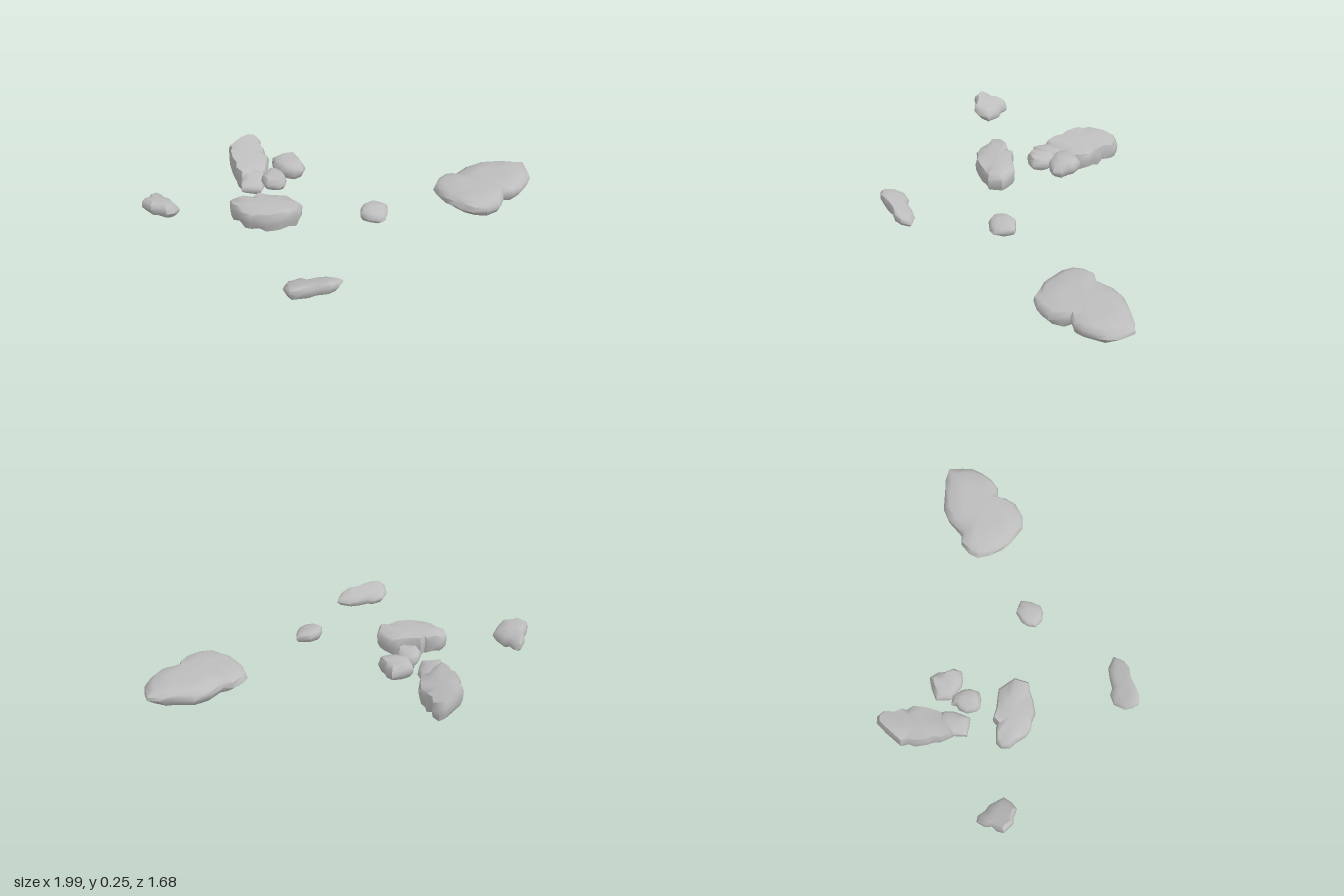
import * as THREE from 'three';
import { toCreasedNormals } from 'three/addons/utils/BufferGeometryUtils.js';

const stone = new THREE.MeshStandardMaterial({ color: 0xbdbdbd });
stone.name = 'grey stone';

// Side profiles from underside to top: [outline scale, height fraction]
const SLAB = [[0, 0], [0.5, 0.02], [0.86, 0.2], [1, 0.55], [0.97, 0.78], [0.84, 0.94], [0.5, 1], [0, 1]];
const BLOCK = [[0, 0], [0.5, 0.01], [0.9, 0.06], [0.98, 0.35], [1, 0.7], [0.92, 0.94], [0.5, 1], [0, 1]];
const PEBBLE = [[0, 0], [0.45, 0.05], [0.82, 0.2], [1, 0.48], [0.95, 0.74], [0.76, 0.94], [0.35, 1], [0, 1]];

function randomFrom(seed) {
  return () => {
    seed = (seed * 16807) % 2147483647;
    return seed / 2147483647 - 0.5;
  };
}

// Lofts a rock through scaled copies of its plan outline (x, z pairs, clockwise from above).
// topTilt and bottomTilt are height slopes along x and z.
function makeRock({ name, outline, profile, bottom, top, topTilt = [0, 0], bottomTilt = [0, 0], seed }) {
  const random = randomFrom(seed * 7919);
  const n = outline.length / 2;
  const points = Array.from({ length: n }, (_, i) => new THREE.Vector2(outline[2 * i], outline[2 * i + 1]));
  const centre = points.reduce((sum, p) => sum.add(p), new THREE.Vector2()).divideScalar(n);

  const rings = profile.map(([scale, level]) => points.map((p) => {
    const inner = scale > 0 && scale < 0.98;
    const s = scale + (inner ? random() * 0.05 : 0);
    const t = THREE.MathUtils.clamp(level + (scale > 0.6 ? random() * 0.14 : 0), 0, 1);
    const dx = (p.x - centre.x) * s;
    const dz = (p.y - centre.y) * s;
    const low = bottom + bottomTilt[0] * dx + bottomTilt[1] * dz;
    const high = top + topTilt[0] * dx + topTilt[1] * dz;
    return new THREE.Vector3(centre.x + dx, THREE.MathUtils.lerp(low, high, t), centre.y + dz);
  }));

  const positions = [];
  const face = (...corners) => corners.forEach((c) => positions.push(c.x, c.y, c.z));
  for (let r = 0; r < rings.length - 1; r++) {
    for (let i = 0; i < n; i++) {
      const j = (i + 1) % n;
      const a = rings[r][i], b = rings[r][j], c = rings[r + 1][i], d = rings[r + 1][j];
      if (r > 0) face(b, a, c);
      if (r < rings.length - 2) face(b, c, d);
    }
  }
  const geometry = new THREE.BufferGeometry();
  geometry.setAttribute('position', new THREE.Float32BufferAttribute(positions, 3));
  const mesh = new THREE.Mesh(toCreasedNormals(geometry, 0.9), stone);
  mesh.name = name;
  return mesh;
}

export function createModel() {
  const group = new THREE.Group();
  group.name = 'scatteredRocks';
  const add = (options) => group.add(makeRock(options));

  // Broad flat slab at the front
  add({
    name: 'largeSlab', profile: SLAB, bottom: 0, top: 0.13, seed: 3,
    outline: [0.42, 0.39, 0.48, 0.37, 0.56, 0.38, 0.6, 0.42, 0.72, 0.43, 0.82, 0.47, 0.91, 0.57, 0.96, 0.62,
      1, 0.69, 0.95, 0.76, 0.9, 0.81, 0.83, 0.83, 0.75, 0.84, 0.68, 0.83, 0.63, 0.78, 0.59, 0.81,
      0.51, 0.83, 0.42, 0.8, 0.36, 0.74, 0.35, 0.66, 0.34, 0.6, 0.35, 0.54, 0.38, 0.45],
  });

  // Thin sloping stone at the front
  add({
    name: 'slopingStone', profile: SLAB, bottom: 0.03, top: 0.118, topTilt: [-0.25, 0.22],
    bottomTilt: [-0.1, 0.04], seed: 5,
    outline: [-0.98, 0.36, -0.95, 0.32, -0.88, 0.3, -0.82, 0.33, -0.8, 0.37, -0.74, 0.41, -0.69, 0.45, -0.66, 0.53,
      -0.72, 0.55, -0.78, 0.54, -0.83, 0.5, -0.9, 0.47, -0.96, 0.44, -0.99, 0.4],
  });

  // Single pebble near the middle
  add({
    name: 'middlePebble', profile: PEBBLE, bottom: 0.11, top: 0.195, topTilt: [0, -0.2], seed: 8,
    outline: [-0.2, 0.29, -0.16, 0.26, -0.12, 0.25, -0.05, 0.27, -0.02, 0.32, -0.01, 0.35,
      -0.06, 0.39, -0.12, 0.42, -0.16, 0.4, -0.2, 0.35],
  });

  // Tilted stone in the back corner
  add({
    name: 'cornerStone', profile: PEBBLE, bottom: 0.11, top: 0.22, topTilt: [-0.4, 0], bottomTilt: [-0.3, 0], seed: 11,
    outline: [-0.99, -0.77, -0.95, -0.79, -0.91, -0.79, -0.88, -0.82, -0.82, -0.83, -0.8, -0.8, -0.81, -0.75,
      -0.8, -0.71, -0.83, -0.61, -0.89, -0.6, -0.94, -0.61, -0.97, -0.67, -0.99, -0.69],
  });

  // Steep-sided block
  add({
    name: 'steepBlock', profile: BLOCK, bottom: 0.07, top: 0.205, bottomTilt: [-0.06, 0], seed: 13,
    outline: [-0.64, -0.37, -0.6, -0.41, -0.56, -0.41, -0.53, -0.38, -0.49, -0.34, -0.49, -0.32, -0.44, -0.32,
      -0.41, -0.26, -0.36, -0.2, -0.33, -0.16, -0.34, -0.09, -0.35, -0.04, -0.43, 0, -0.47, -0.03,
      -0.53, -0.06, -0.6, -0.11, -0.62, -0.16, -0.65, -0.2, -0.66, -0.25, -0.64, -0.32],
  });

  // Long ledge at the back, its top falling to the front left
  add({
    name: 'longLedge', profile: BLOCK, bottom: 0.035, top: 0.185, topTilt: [-0.15, -0.24], bottomTilt: [0, -0.09], seed: 17,
    outline: [-0.34, -0.55, -0.32, -0.62, -0.28, -0.66, -0.27, -0.7, -0.22, -0.77, -0.18, -0.79, -0.16, -0.83,
      -0.04, -0.84, 0.04, -0.84, 0.07, -0.81, 0.07, -0.76, 0.02, -0.72, 0.01, -0.67, -0.02, -0.65,
      -0.03, -0.6, -0.09, -0.55, -0.16, -0.51, -0.24, -0.5],
  });

  // Raised tip of the ledge
  add({
    name: 'ledgeTip', profile: PEBBLE, bottom: 0.07, top: 0.155, topTilt: [-0.05, -0.2], seed: 29,
    outline: [-0.4, -0.5, -0.37, -0.53, -0.34, -0.56, -0.28, -0.6, -0.2, -0.58, -0.18, -0.5,
      -0.22, -0.45, -0.28, -0.42, -0.33, -0.4, -0.36, -0.44],
  });

  // Pair of small stones beside the ledge
  add({
    name: 'pairStoneRight', profile: PEBBLE, bottom: 0.12, top: 0.225, topTilt: [-0.1, 0], seed: 19,
    outline: [-0.34, -0.36, -0.31, -0.41, -0.26, -0.43, -0.22, -0.42, -0.2, -0.44, -0.17, -0.4,
      -0.18, -0.33, -0.21, -0.29, -0.26, -0.26, -0.3, -0.28, -0.34, -0.33],
  });
  add({
    name: 'pairStoneLeft', profile: PEBBLE, bottom: 0.125, top: 0.245, seed: 23,
    outline: [-0.18, -0.42, -0.15, -0.46, -0.12, -0.49, -0.05, -0.46, 0.01, -0.42, 0, -0.36,
      -0.03, -0.33, -0.05, -0.27, -0.1, -0.25, -0.14, -0.28, -0.17, -0.32],
  });

  return group;
}
